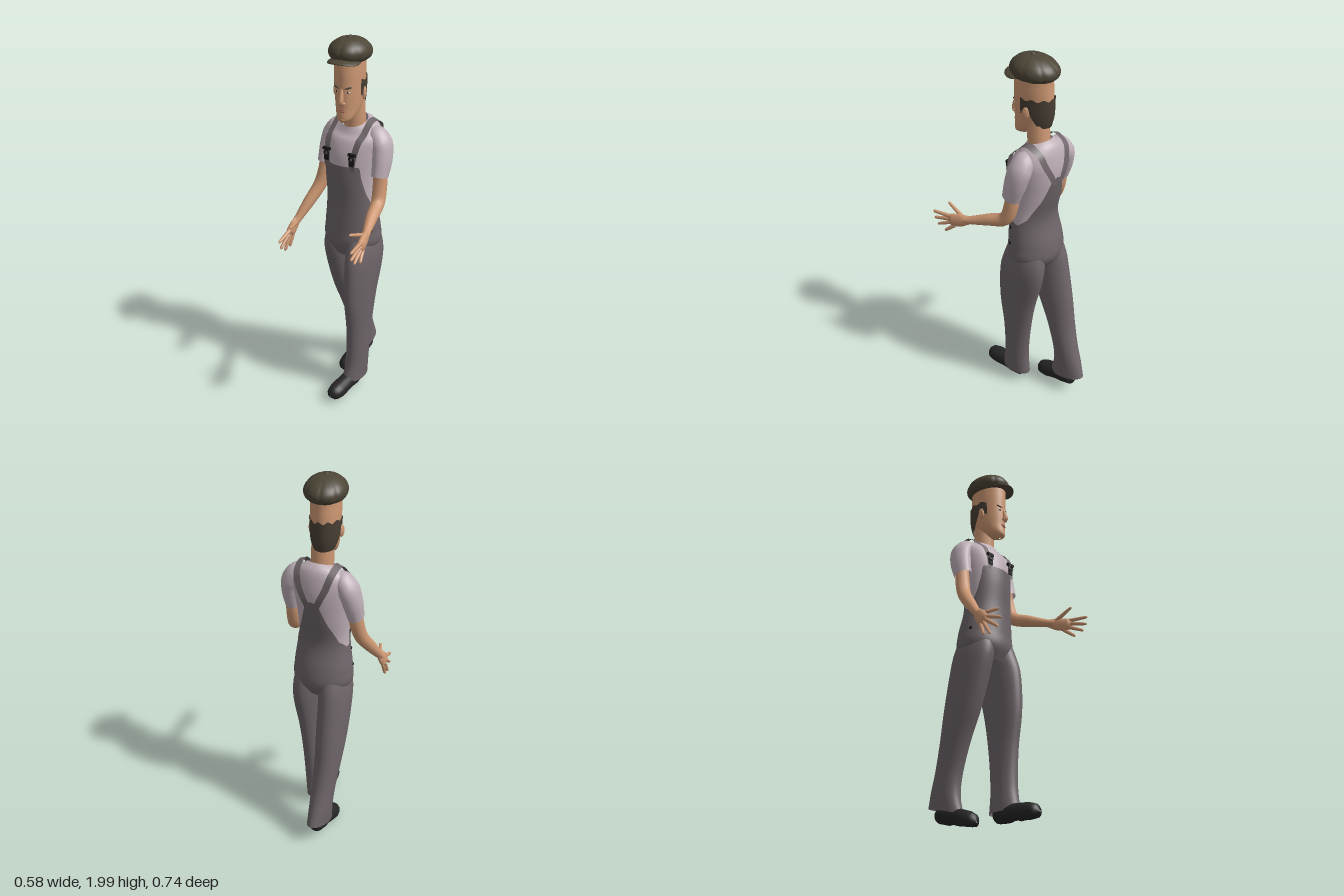
import * as THREE from 'three';
import { mergeVertices } from 'three/addons/utils/BufferGeometryUtils.js';

const mat = (name, color, side = THREE.FrontSide) => new THREE.MeshStandardMaterial({ name, color, side });
const D = THREE.DoubleSide;

// Smooth interpolation of body sections [y, cx, cz, rx, rz]
function section(keys, y) {
  const n = keys.length - 1;
  y = Math.min(Math.max(y, keys[0][0]), keys[n][0]);
  let i = 0;
  while (i < n - 1 && y > keys[i + 1][0]) i++;
  const h = keys[i + 1][0] - keys[i][0], t = (y - keys[i][0]) / h;
  const slope = (k, c) => {
    const a = keys[Math.max(k - 1, 0)], b = keys[Math.min(k + 1, n)];
    return (b[c] - a[c]) / (b[0] - a[0]);
  };
  return [1, 2, 3, 4].map(c => {
    const t2 = t * t, t3 = t2 * t;
    return (2 * t3 - 3 * t2 + 1) * keys[i][c] + (t3 - 2 * t2 + t) * h * slope(i, c)
      + (3 * t2 - 2 * t3) * keys[i + 1][c] + (t3 - t2) * h * slope(i + 1, c);
  });
}

function smooth(geo) {
  geo.deleteAttribute('normal');
  geo.deleteAttribute('uv');
  const g = mergeVertices(geo, 1e-5);
  g.computeVertexNormals();
  return g;
}

// Skin of elliptical sections; bottom and top edges may vary with the angle (0 = front)
function shell(keys, o = {}) {
  const { bottom = () => keys[0][0], top = () => keys[keys.length - 1][0], a0 = -Math.PI, a1 = Math.PI,
    off = 0, rows = 28, cols = 40, tilt = () => 0, mod = () => 1 } = o;
  const pos = [], idx = [];
  for (let i = 0; i <= rows; i++) for (let j = 0; j <= cols; j++) {
    const a = a0 + (a1 - a0) * j / cols;
    const y = THREE.MathUtils.lerp(bottom(a), top(a), i / rows);
    const [cx, cz, rx, rz] = section(keys, y), m = mod(a, y);
    const z = (rz + off) * m * Math.cos(a);
    pos.push(cx + (rx + off) * m * Math.sin(a), y - tilt(y) * z, cz + z);
    if (i < rows && j < cols) {
      const p = i * (cols + 1) + j, q = p + cols + 1;
      idx.push(p, p + 1, q, p + 1, q + 1, q);
    }
  }
  const g = new THREE.BufferGeometry();
  g.setAttribute('position', new THREE.Float32BufferAttribute(pos, 3));
  g.setIndex(idx);
  return smooth(g);
}

// Round limb through points [x, y, z, radius], optionally squashed across x
function limb(pts, squash = 1, sides = 14, steps = 24) {
  const curve = new THREE.CatmullRomCurve3(pts.map(p => new THREE.Vector3(p[0], p[1], p[2])));
  const g = new THREE.TubeGeometry(curve, steps, 1, sides, false), p = g.attributes.position;
  for (let i = 0; i <= steps; i++) {
    const c = curve.getPointAt(i / steps), t = curve.getUtoTmapping(i / steps) * (pts.length - 1);
    const k = Math.min(Math.floor(t), pts.length - 2);
    const r = THREE.MathUtils.lerp(pts[k][3], pts[k + 1][3], t - k);
    for (let j = 0; j <= sides; j++) {
      const v = i * (sides + 1) + j;
      p.setXYZ(v, c.x + (p.getX(v) - c.x) * r * squash, c.y + (p.getY(v) - c.y) * r, c.z + (p.getZ(v) - c.z) * r);
    }
  }
  return smooth(g);
}

// Piecewise linear lookup
function steps(table, x) {
  let i = 0;
  while (i < table.length - 2 && x > table[i + 1][0]) i++;
  const [a, b] = [table[i], table[i + 1]];
  return THREE.MathUtils.mapLinear(x, a[0], b[0], a[1], b[1]);
}

export function createModel() {
  const M = {
    skin: mat('skin', 0xcf9974), shirt: mat('shirt', 0xbfb0b8, D), denim: mat('overalls', 0x6e6569, D),
    cap: mat('cap', 0x4d4637, D), hair: mat('hair', 0x483f34, D), shoe: mat('shoe', 0x262627),
    clip: mat('clip', 0x1b1a1b), lip: mat('lip', 0xa8695a), eye: mat('eye', 0xd8d0c8),
  };
  const root = new THREE.Group();
  const add = (parent, name, geo, m, x = 0, y = 0, z = 0) => {
    const mesh = new THREE.Mesh(geo, m);
    mesh.name = name;
    mesh.position.set(x, y, z);
    parent.add(mesh);
    return mesh;
  };
  const ball = (x, y, z) => new THREE.SphereGeometry(1, 18, 12).scale(x, y, z);

  // Torso: shirt, and overalls with a bib in front and a peak at the back
  const torso = [[0.85, -0.033, -0.06, 0.09, 0.09], [0.92, -0.033, -0.065, 0.148, 0.125], [1.0, -0.033, -0.065, 0.148, 0.122],
    [1.15, -0.03, -0.052, 0.131, 0.104], [1.3, -0.035, -0.062, 0.136, 0.122], [1.42, -0.035, -0.075, 0.148, 0.126],
    [1.5, -0.033, -0.088, 0.152, 0.108], [1.545, -0.033, -0.092, 0.115, 0.085], [1.568, -0.033, -0.082, 0.066, 0.064]];
  const lean = y => 0.35 * THREE.MathUtils.smoothstep(y, 1.48, 1.56);
  add(root, 'shirt', shell(torso, { bottom: () => 1.05, tilt: lean }), M.shirt);
  const edge = [[0, 1.365], [47, 1.365], [53, 1.30], [65, 1.22], [85, 1.14], [100, 1.13], [125, 1.17], [150, 1.28], [168, 1.4], [180, 1.41]];
  add(root, 'overalls', shell(torso, { off: 0.006, cols: 90, rows: 36, top: a => steps(edge, Math.abs(a) * 180 / Math.PI) }), M.denim);

  // Straps, clips and side buttons
  for (const s of [-1, 1]) {
    const on = (dx, y, dir) => {
      const [cx, cz, rx, rz] = section(torso, y);
      const z = dir * rz * Math.sqrt(1 - (dx / rx) ** 2);
      return new THREE.Vector3(cx + s * dx, y - lean(y) * z + 0.002, cz + z + dir * 0.011);
    };
    const path = new THREE.CatmullRomCurve3([on(0.076, 1.345, 1), on(0.084, 1.42, 1), on(0.092, 1.49, 1), on(0.096, 1.53, 1),
      new THREE.Vector3(-0.033 + s * 0.096, 1.58, -0.095), on(0.09, 1.53, -1), on(0.07, 1.48, -1), on(0.046, 1.43, -1), on(0.02, 1.375, -1)]);
    const strap = new THREE.PlaneGeometry(0.034, 1, 1, 40), p = strap.attributes.position;
    for (let i = 0; i <= 40; i++) {
      const c = path.getPointAt(i / 40);
      for (const k of [0, 1]) {
        const w = (k ? 0.017 : -0.017);
        p.setXYZ(i * 2 + k, c.x + w, c.y - s * w * 0.35 * Math.sin(Math.PI * i / 40), c.z);
      }
    }
    strap.computeVertexNormals();
    add(root, 'strap', strap, M.denim);
    const c = on(0.078, 1.38, 1);
    add(root, 'clipPlate', new THREE.BoxGeometry(0.026, 0.026, 0.012), M.clip, c.x, 1.385, c.z);
    add(root, 'clipBar', new THREE.BoxGeometry(0.042, 0.014, 0.014), M.clip, c.x, 1.432, c.z);
    add(root, 'clipLoop', new THREE.TorusGeometry(0.013, 0.005, 6, 14), M.clip, c.x, 1.41, c.z + 0.004);
    for (const y of [1.095, 1.005]) {
      const [cx, cz, rx, rz] = section(torso, y);
      add(root, 'sideButton', ball(0.006, 0.01, 0.01), M.clip, cx + s * (rx + 0.005) * 0.95, y, cz + rz * 0.31);
    }
  }

  // Striding trouser legs, sections listed from the hem up
  const leftLeg = [[0.085, 0.038, 0.007, 0.053, 0.092], [0.2, 0.045, -0.003, 0.054, 0.077], [0.4, 0.05, -0.012, 0.055, 0.088],
    [0.6, 0.053, -0.018, 0.063, 0.118], [0.8, 0.053, -0.048, 0.073, 0.14], [0.9, 0.045, -0.062, 0.075, 0.127], [1.02, 0.03, -0.065, 0.06, 0.09]];
  const rightLeg = [[0.11, -0.103, -0.255, 0.053, 0.112], [0.2, -0.108, -0.252, 0.057, 0.087], [0.3, -0.11, -0.23, 0.06, 0.077],
    [0.45, -0.115, -0.185, 0.067, 0.087], [0.6, -0.115, -0.14, 0.075, 0.11], [0.8, -0.112, -0.09, 0.08, 0.125],
    [0.9, -0.107, -0.072, 0.077, 0.125], [1.02, -0.095, -0.065, 0.06, 0.09]];
  add(root, 'leftLeg', shell(leftLeg), M.denim);
  add(root, 'rightLeg', shell(rightLeg, { tilt: y => 0.25 * (1 - THREE.MathUtils.smoothstep(y, 0.1, 0.45)) }), M.denim);

  // Shoes with flattened soles
  const shoe = (name, x, y, z, pitch, yaw) => {
    const g = limb([[0, 0.04, -0.135, 0.004], [0, 0.042, -0.122, 0.036], [0, 0.045, -0.06, 0.046], [0, 0.04, 0.0, 0.044],
      [0, 0.026, 0.08, 0.047], [0, 0.02, 0.125, 0.036], [0, 0.018, 0.142, 0.003]], 1, 18);
    const p = g.attributes.position;
    for (let i = 0; i < p.count; i++) p.setY(i, Math.max(p.getY(i), p.getZ(i) > -0.04 && p.getZ(i) < 0.0 ? 0.008 : 0));
    g.computeVertexNormals();
    const f = new THREE.Group();
    f.name = name;
    f.position.set(x, y, z);
    f.rotation.set(pitch, yaw, 0, 'YXZ');
    add(f, 'upper', g, M.shoe);
    add(f, 'ankle', ball(0.04, 0.05, 0.062), M.shoe, 0, 0.065, -0.055);
    root.add(f);
  };
  shoe('leftShoe', 0.034, 0.036, 0.087, -0.04, 0.02);
  shoe('rightShoe', -0.098, 0.034, -0.19, 0.17, 0);

  // Sleeves, arms and spread hands
  const arm = (side, o) => {
    add(root, side + 'Sleeve', limb(o.sleeve, 0.8, 20), M.shirt);
    add(root, side + 'Arm', limb(o.arm), M.skin);
    add(root, side + 'Palm', limb(o.palm, 0.45), M.skin);
    for (const [a, b] of o.fingers) {
      const q = t => a.map((v, i) => v + (b[i] - v) * t);
      add(root, side + 'Finger', limb([[...a, 0.011], [...q(0.5), 0.0095], [...q(0.93), 0.0075], [...b, 0.001]], 1, 8, 12), M.skin);
    }
  };
  arm('left', {
    sleeve: [[0.04, 1.5, -0.098, 0.03], [0.085, 1.5, -0.1, 0.056], [0.12, 1.46, -0.1, 0.064], [0.134, 1.39, -0.085, 0.06], [0.138, 1.305, -0.06, 0.05]],
    arm: [[0.135, 1.38, -0.075, 0.036], [0.14, 1.25, -0.06, 0.037], [0.15, 1.175, -0.03, 0.036], [0.18, 1.14, 0.06, 0.031], [0.218, 1.112, 0.15, 0.021], [0.235, 1.103, 0.19, 0.02]],
    palm: [[0.218, 1.112, 0.15, 0.02], [0.24, 1.098, 0.2, 0.034], [0.258, 1.083, 0.255, 0.036], [0.264, 1.08, 0.285, 0.006]],
    fingers: [[[0.262, 1.105, 0.26], [0.285, 1.1, 0.37]], [[0.262, 1.087, 0.265], [0.282, 1.06, 0.366]], [[0.26, 1.07, 0.257], [0.283, 1.03, 0.342]],
      [[0.256, 1.058, 0.235], [0.28, 1.012, 0.29]], [[0.234, 1.112, 0.19], [0.229, 1.157, 0.31]]],
  });
  arm('right', {
    sleeve: [[-0.106, 1.5, -0.098, 0.03], [-0.15, 1.5, -0.1, 0.056], [-0.184, 1.46, -0.1, 0.064], [-0.2, 1.39, -0.085, 0.06], [-0.207, 1.305, -0.06, 0.05]],
    arm: [[-0.203, 1.38, -0.075, 0.036], [-0.213, 1.25, -0.055, 0.037], [-0.225, 1.18, -0.03, 0.035], [-0.25, 1.09, 0.04, 0.03], [-0.268, 1.02, 0.1, 0.021], [-0.272, 1.0, 0.12, 0.02]],
    palm: [[-0.268, 1.02, 0.1, 0.02], [-0.274, 0.99, 0.127, 0.033], [-0.277, 0.955, 0.155, 0.035], [-0.277, 0.935, 0.173, 0.006]],
    fingers: [[[-0.272, 0.967, 0.175], [-0.265, 0.935, 0.267]], [[-0.275, 0.95, 0.173], [-0.27, 0.89, 0.25]], [[-0.278, 0.938, 0.16], [-0.278, 0.86, 0.207]],
      [[-0.278, 0.935, 0.14], [-0.28, 0.868, 0.165]], [[-0.267, 1.0, 0.125], [-0.227, 1.013, 0.217]]],
  });

  // Neck and head, turned a little to the left
  add(root, 'neck', limb([[-0.033, 1.49, -0.085, 0.058], [-0.033, 1.56, -0.08, 0.056], [-0.034, 1.7, -0.07, 0.056]]), M.skin);
  const head = new THREE.Group();
  head.name = 'head';
  head.position.set(-0.035, 0, -0.045);
  head.rotation.y = 0.22;
  root.add(head);
  const skull = [[1.583, 0, 0.075, 0.004, 0.006], [1.592, 0, 0.066, 0.028, 0.033], [1.615, 0, 0.045, 0.046, 0.058], [1.65, 0, 0.018, 0.059, 0.082],
    [1.7, 0, 0.004, 0.067, 0.098], [1.78, 0, 0.002, 0.072, 0.101], [1.86, 0, 0.003, 0.073, 0.1], [1.91, 0, 0.002, 0.067, 0.092], [1.94, 0, 0, 0.03, 0.04]];
  add(head, 'face', shell(skull), M.skin);
  const scalp = [[1.645, 0, 0, 0.06, 0.088], [1.7, 0, 0, 0.07, 0.101], [1.8, 0, 0, 0.074, 0.104]];
  const back = a => Math.abs(a - Math.PI);
  add(head, 'hair', shell(scalp, { a0: 1.25, a1: 2 * Math.PI - 1.25, off: 0.003, rows: 10, cols: 48,
    bottom: a => steps([[0, 1.645], [0.95, 1.65], [1.3, 1.7], [1.45, 1.74], [1.9, 1.715]], back(a)),
    top: a => 1.795 + 0.006 * Math.sin(a * 11) }), M.hair);
  add(head, 'nose', limb([[0, 1.765, 0.094, 0.008], [0, 1.725, 0.106, 0.012], [0, 1.695, 0.11, 0.0155], [0, 1.68, 0.103, 0.004]], 0.95, 10, 12), M.skin);
  add(head, 'upperLip', ball(0.022, 0.004, 0.008), M.lip, 0, 1.654, 0.096);
  add(head, 'lowerLip', ball(0.018, 0.005, 0.009), M.lip, 0, 1.646, 0.094);
  add(head, 'chin', ball(0.022, 0.018, 0.018), M.skin, 0, 1.605, 0.086);
  for (const s of [-1, 1]) {
    add(head, 'eyeWhite', ball(0.012, 0.005, 0.005), M.eye, s * 0.029, 1.745, 0.0905).rotation.y = s * 0.4;
    add(head, 'iris', ball(0.005, 0.005, 0.004), M.clip, s * 0.029, 1.745, 0.0935);
    const brow = add(head, 'eyebrow', ball(0.019, 0.0045, 0.006), M.hair, s * 0.031, 1.766, 0.0915);
    brow.rotation.set(0, s * 0.42, s * 0.2);
    add(head, 'ear', ball(0.009, 0.033, 0.019), M.skin, s * 0.076, 1.725, 0.002).rotation.set(-0.15, s * 0.3, 0);
    add(head, 'nostrilWing', ball(0.008, 0.007, 0.01), M.skin, s * 0.012, 1.69, 0.104);
  }

  // Flat cap with pleated crown, button and visor
  const crown = [[1.878, 0, -0.005, 0.066, 0.085], [1.895, 0, -0.004, 0.094, 0.113], [1.925, 0, -0.001, 0.104, 0.124],
    [1.955, 0, 0.003, 0.093, 0.109], [1.978, 0, 0.007, 0.066, 0.077], [1.991, 0, 0.01, 0.035, 0.04], [1.995, 0, 0.01, 0.002, 0.002]];
  add(head, 'capCrown', shell(crown, { cols: 96, mod: a => 1 - 0.035 * (1 - Math.abs(Math.sin(4 * a))) ** 2 }), M.cap);
  add(head, 'capButton', ball(0.012, 0.006, 0.012), M.cap, 0, 1.994, 0.01);
  const visor = new THREE.SphereGeometry(1, 32, 14).scale(0.082, 0.011, 0.078), v = visor.attributes.position;
  for (let i = 0; i < v.count; i++) v.setY(i, v.getY(i) - 2.6 * v.getX(i) ** 2);
  visor.computeVertexNormals();
  add(head, 'capVisor', visor, M.cap, 0, 1.902, 0.074).rotation.x = 0.12;
  return root;
}
